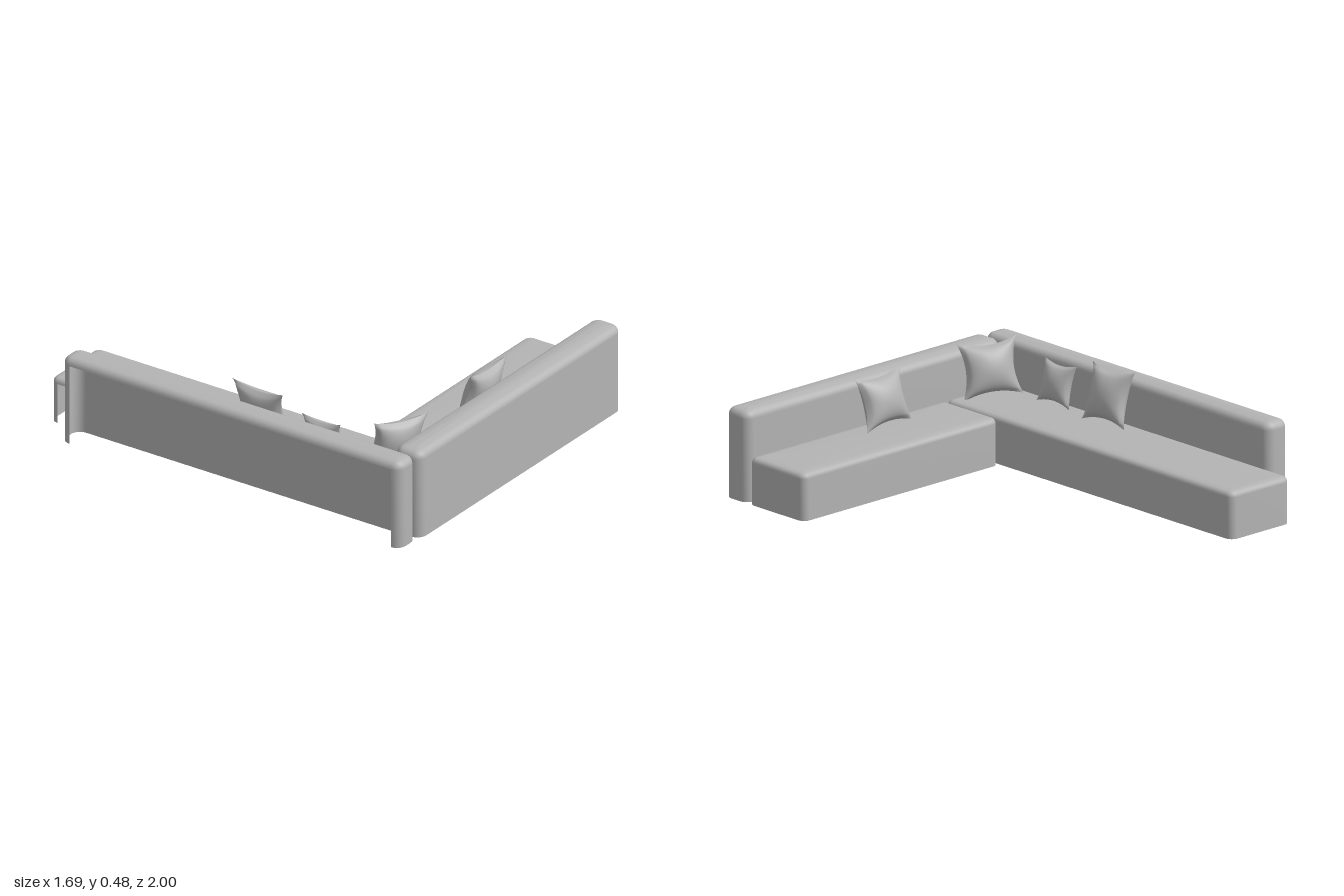
import * as THREE from 'three';

const CORNER = 6, BEVEL = 5;

// Hollow upholstered block, open underneath; openSide (0:+z, 1:-x, 2:-z) leaves a hidden wall off.
function block(name, x0, x1, z0, z1, h, r, mat, openSide = -1) {
  const pos = [], idx = [], R = r + 0.012;
  const cx = (x0 + x1) / 2, cz = (z0 + z1) / 2, hx = (x1 - x0) / 2, hz = (z1 - z0) / 2;
  const n = 4 * (CORNER + 1);
  const ring = (inset, y) => {
    const rad = Math.max(R - inset, 0.004);
    for (let c = 0; c < 4; c++) {
      const sx = c === 0 || c === 3 ? 1 : -1, sz = c < 2 ? 1 : -1;
      for (let i = 0; i <= CORNER; i++) {
        const a = (c + i / CORNER) * Math.PI / 2;
        pos.push(cx + sx * (hx - inset - rad) + rad * Math.cos(a), y,
          cz + sz * (hz - inset - rad) + rad * Math.sin(a));
      }
    }
  };
  // straight wall, rounded shoulder, then a flat border on the top
  ring(0, 0);
  for (let k = 0; k <= BEVEL; k++) {
    const a = k / BEVEL * Math.PI / 2;
    ring(r * (1 - Math.cos(a)), h - r + r * Math.sin(a) - 0.004);
  }
  ring(r + 0.02, h);
  const rings = BEVEL + 3;
  for (let k = 0; k < rings - 1; k++) {
    for (let i = 0; i < n; i++) {
      const side = i % (CORNER + 1) === CORNER ? Math.floor(i / (CORNER + 1)) : -1;
      if (k === 0 && side >= 0 && side === openSide) continue;
      const j = (i + 1) % n, a = k * n + i, b = k * n + j;
      idx.push(a, a + n, b + n, a, b + n, b);
    }
  }
  // top panel
  const centre = pos.length / 3, last = (rings - 1) * n;
  pos.push(cx, h, cz);
  for (let i = 0; i < n; i++) idx.push(last + i, centre, last + (i + 1) % n);
  const geo = new THREE.BufferGeometry();
  geo.setAttribute('position', new THREE.Float32BufferAttribute(pos, 3));
  geo.setIndex(idx);
  geo.computeVertexNormals();
  const mesh = new THREE.Mesh(geo, mat);
  mesh.name = name;
  return mesh;
}

// Plump square pillow with pulled-in sides and pointed corners.
function pillow(name, w, h, t, at, yaw, tilt, roll, mat) {
  const geo = new THREE.BoxGeometry(2, 2, 2, 20, 20, 1);
  const p = geo.attributes.position;
  for (let i = 0; i < p.count; i++) {
    const u = p.getX(i), v = p.getY(i), s = p.getZ(i);
    const eu = Math.max(0, 1 - u * u), ev = Math.max(0, 1 - v * v);
    const crease = 1 + 0.08 * Math.sin(5 * u + 3 * v) * Math.abs(u * v);
    p.setXYZ(i, w / 2 * u * (1 - 0.2 * ev), h / 2 * v * (1 - 0.2 * eu),
      s * t / 2 * Math.pow(eu * ev, 0.55) * crease);
  }
  geo.computeVertexNormals();
  const mesh = new THREE.Mesh(geo, mat);
  mesh.name = name;
  mesh.position.set(...at);
  mesh.rotation.set(-tilt, yaw, roll, 'YXZ');
  return mesh;
}

export function createModel() {
  const group = new THREE.Group();
  group.name = 'cornerSofa';
  const fabric = new THREE.MeshStandardMaterial({ color: 0xb4b4b4, side: THREE.DoubleSide });
  fabric.name = 'greyFabric';

  group.add(
    // seats
    block('longSeat', -0.715, -0.355, -1, 0.845, 0.222, 0.025, fabric, 1),
    block('shortSeat', -0.35, 0.84, 0.49, 0.845, 0.222, 0.025, fabric, 0),
    // backrests
    block('longBackrest', -0.85, -0.72, -0.85, 0.985, 0.424, 0.035, fabric, 1),
    block('shortBackrest', -0.715, 0.84, 0.855, 1, 0.424, 0.035, fabric),
    // pillows
    pillow('largePillow', 0.27, 0.26, 0.11, [-0.638, 0.352, 0.09], Math.PI / 2, 0.3, 0.03, fabric),
    pillow('smallPillow', 0.21, 0.2, 0.085, [-0.655, 0.323, 0.44], Math.PI / 2, 0.25, 0, fabric),
    pillow('cornerPillow', 0.28, 0.26, 0.12, [-0.54, 0.345, 0.75], 2.7, 0.25, 0.05, fabric),
    pillow('shortSidePillow', 0.28, 0.25, 0.12, [0.1, 0.342, 0.76], Math.PI, 0.3, 0.03, fabric),
  );
  return group;
}
